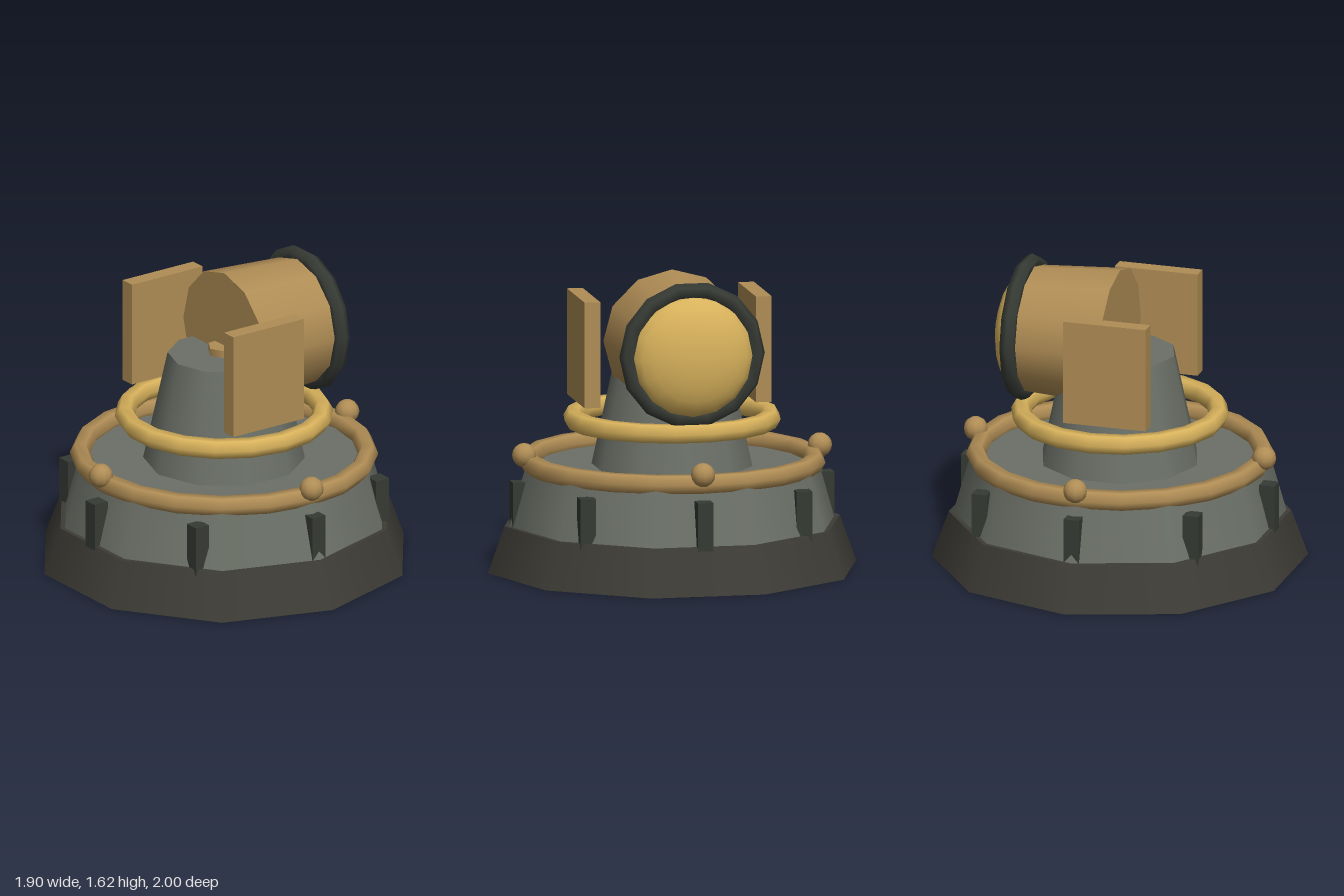
import * as THREE from 'three';

const mat = (name, color) => {
  const m = new THREE.MeshStandardMaterial({ color });
  m.name = name;
  return m;
};

export function createModel() {
  const darkStone = mat('dark stone', 0x3e3c36);
  const darkIron = mat('dark iron', 0x363a34);
  const grey = mat('grey stone', 0x6b7067);
  const bronze = mat('bronze', 0xb08d55);
  const gold = mat('gold', 0xd8b25c);

  const model = new THREE.Group();
  model.name = 'turret';
  const add = (name, geometry, material, x = 0, y = 0, z = 0) => {
    const mesh = new THREE.Mesh(geometry, material);
    mesh.name = name;
    mesh.position.set(x, y, z);
    model.add(mesh);
    return mesh;
  };
  // Upright tapered cylinder standing between two heights
  const drum = (name, material, rTop, rBottom, y0, y1, sides) =>
    add(name, new THREE.CylinderGeometry(rTop, rBottom, y1 - y0, sides), material, 0, (y0 + y1) / 2, 0);

  // Stepped ten-sided base
  drum('foundation', darkStone, 0.91, 1, 0, 0.25, 10);
  drum('baseDrum', grey, 0.8, 0.885, 0.25, 0.55, 10);

  // Eight square ribs around the drum
  for (let i = 0; i < 8; i++) {
    const a = (i * Math.PI) / 4;
    add('rib', new THREE.BoxGeometry(0.085, 0.28, 0.085), darkIron,
      0.83 * Math.sin(a), 0.35, 0.83 * Math.cos(a));
  }

  // Bronze rim with four ball studs
  add('rimRing', new THREE.TorusGeometry(0.765, 0.055, 6, 20).rotateX(Math.PI / 2), bronze, 0, 0.575, 0);
  for (let i = 0; i < 4; i++) {
    const a = (i * Math.PI) / 2;
    add('rimBall', new THREE.SphereGeometry(0.065, 10, 8), bronze,
      0.803 * Math.sin(a), 0.63, 0.803 * Math.cos(a));
  }

  // Neck, turning ring and pivot pin
  drum('neck', grey, 0.3, 0.43, 0.55, 1.15, 10).rotation.y = Math.PI / 2;
  add('turningRing', new THREE.TorusGeometry(0.528, 0.055, 6, 18).rotateX(Math.PI / 2).rotateY(Math.PI / 2),
    gold, 0, 0.807, 0);
  drum('pivotPin', bronze, 0.09, 0.09, 1.1, 1.19, 6).rotation.y = Math.PI / 2;

  // Side plates
  for (const s of [-1, 1]) {
    add('sidePlate', new THREE.BoxGeometry(0.46, 0.57, 0.085), bronze, -0.07, 1.183, s * 0.465);
  }

  // Lamp barrel pointing along +x, with its rim and domed lens
  const axisY = 1.23;
  add('barrel', new THREE.CylinderGeometry(0.342, 0.373, 0.5, 12).rotateZ(-Math.PI / 2), bronze, 0.25, axisY, 0);
  add('barrelRim', new THREE.TorusGeometry(0.35, 0.045, 6, 14).rotateY(Math.PI / 2), darkIron, 0.517, axisY, 0);
  const lens = new THREE.SphereGeometry(0.33, 16, 6, 0, Math.PI * 2, 0, Math.PI / 2)
    .scale(1, 0.145 / 0.33, 1).rotateZ(-Math.PI / 2);
  add('lens', lens, gold, 0.52, axisY - 0.01, 0);

  return model;
}
